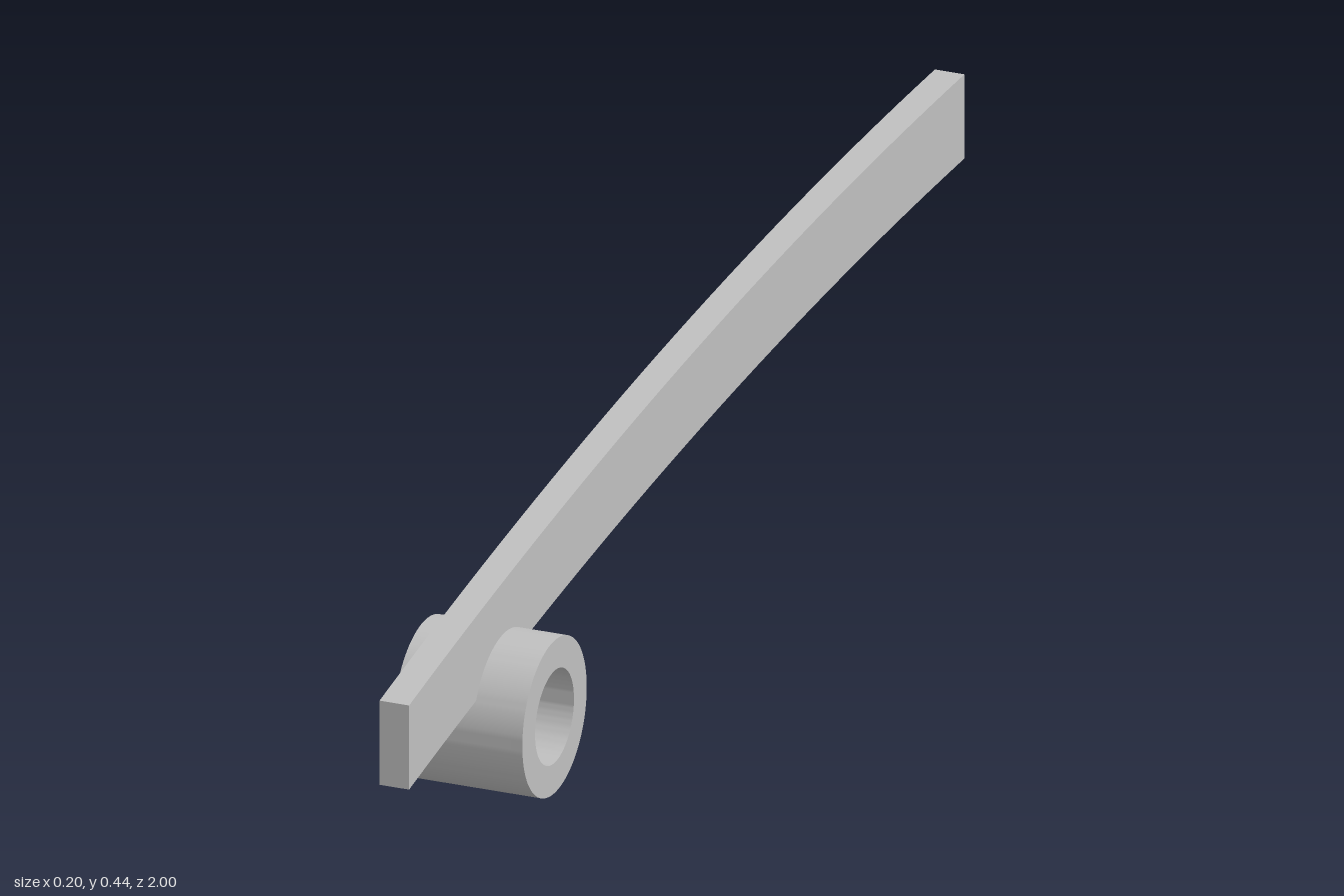
import * as THREE from 'three';
import { toCreasedNormals } from 'three/addons/utils/BufferGeometryUtils.js';

const HALF_LENGTH = 1;
const BAR_HEIGHT = 0.128;

// Upper edge of the bar: level at the back, drooping towards the front
const topEdge = (z) => 0.438 - 0.0458 * (z + 1) ** 2;

// Extrudes a side profile (drawn in -z, y) across x, centred on x = 0
function extrudeAcross(shape, width, curveSegments) {
  const geometry = new THREE.ExtrudeGeometry(shape, { depth: width, bevelEnabled: false, curveSegments });
  geometry.translate(0, 0, -width / 2);
  geometry.rotateY(Math.PI / 2);
  return toCreasedNormals(geometry, Math.PI / 6);
}

export function createModel() {
  const group = new THREE.Group();
  const metal = new THREE.MeshStandardMaterial({ color: 0xc0c0c0 });
  metal.name = 'grey metal';

  // Curved lever bar
  const steps = 32;
  const upper = [];
  const lower = [];
  for (let i = 0; i <= steps; i++) {
    const z = HALF_LENGTH - (2 * HALF_LENGTH * i) / steps;
    upper.push(new THREE.Vector2(-z, topEdge(z)));
    lower.push(new THREE.Vector2(-z, topEdge(z) - BAR_HEIGHT));
  }
  const barShape = new THREE.Shape([...lower, ...upper.reverse()]);
  const bar = new THREE.Mesh(extrudeAcross(barShape, 0.045, 1), metal);
  bar.name = 'leverBar';

  // Pivot sleeve with its through hole
  const ring = new THREE.Shape().absarc(0, 0, 0.116, 0, Math.PI * 2, false);
  ring.holes.push(new THREE.Path().absarc(0, 0, 0.07, 0, Math.PI * 2, true));
  const sleeve = new THREE.Mesh(extrudeAcross(ring, 0.196, 48), metal);
  sleeve.name = 'pivotSleeve';
  sleeve.position.set(0, 0.116, 0.655);

  group.add(bar, sleeve);
  return group;
}
